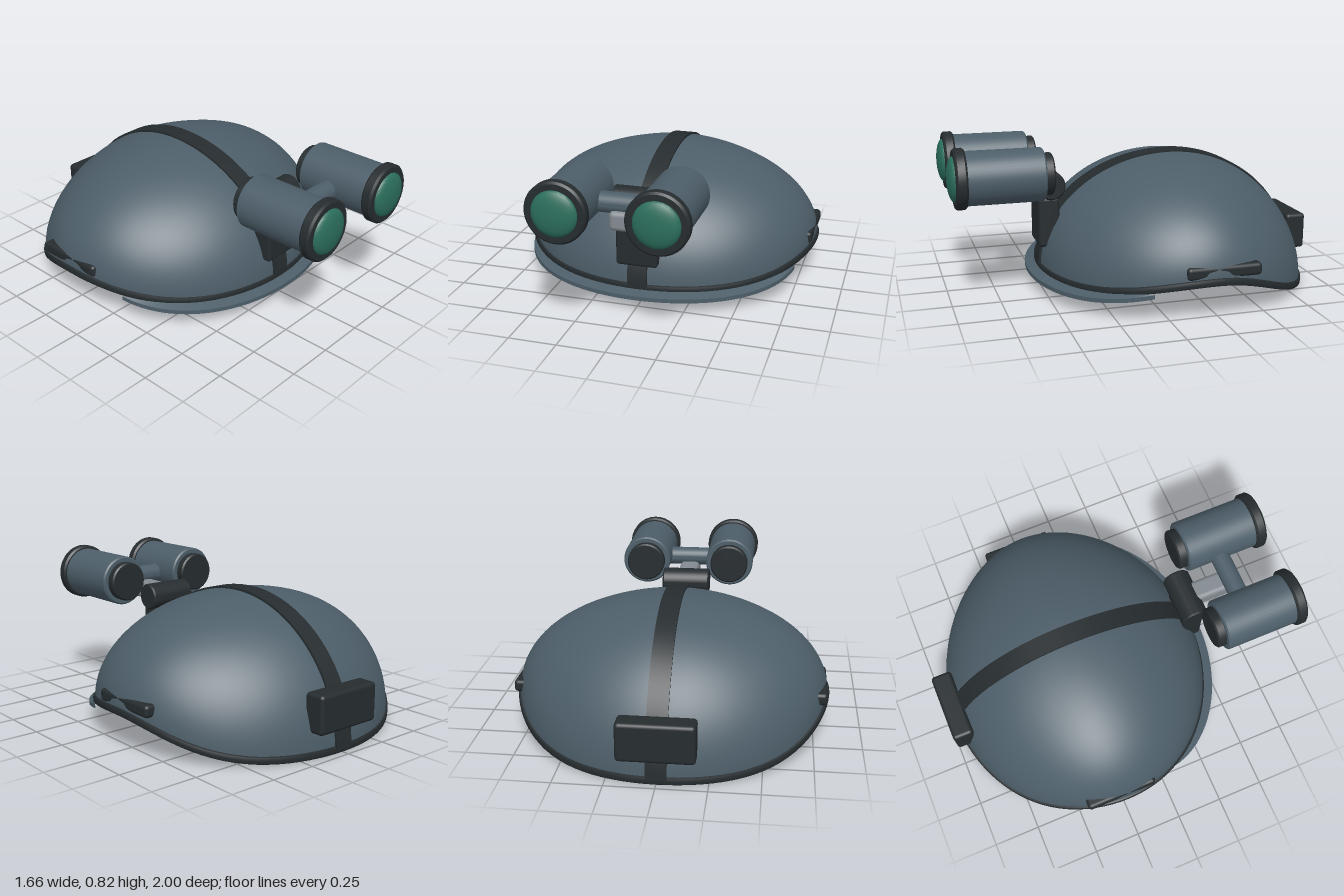
import * as THREE from 'three';
import { mergeVertices, toCreasedNormals } from 'three/addons/utils/BufferGeometryUtils.js';
import { RoundedBoxGeometry } from 'three/addons/geometries/RoundedBoxGeometry.js';

const mat = (color) => new THREE.MeshStandardMaterial({ color });
const shellMat = mat(0x4d5e69);
const darkMat = mat(0x262c2f);
const lensMat = mat(0x2b6e5c);
const metalMat = mat(0x848b91);

const RX = 0.82, RZ = 0.73, CZ = -0.23, TOP = 0.7;

// Rim height for a forward position c (1 front, 0 side, -1 back)
function rimY(c) {
  const dip = c > 0 ? 0.045 : 0.09;
  return 0.2 - dip * (1 - Math.cos(Math.PI * c));
}

// Point on the dome: a runs round from the front, phi from the crown to the rim
function domePoint(a, phi, k = 1) {
  const y0 = rimY(Math.cos(a));
  const s = Math.sin(phi) * k;
  return [RX * Math.sin(a) * s, y0 + (TOP - y0) * Math.cos(phi) * k, CZ + RZ * Math.cos(a) * s];
}

// Surface from a function of two parameters in 0..1
function surface(nu, nv, fn) {
  const pos = [], idx = [];
  for (let i = 0; i <= nu; i++) for (let j = 0; j <= nv; j++) pos.push(...fn(i / nu, j / nv));
  for (let i = 0; i < nu; i++) {
    for (let j = 0; j < nv; j++) {
      const p = i * (nv + 1) + j, q = p + nv + 1;
      idx.push(p, p + 1, q, p + 1, q + 1, q);
    }
  }
  const g = new THREE.BufferGeometry();
  g.setAttribute('position', new THREE.Float32BufferAttribute(pos, 3));
  g.setIndex(idx);
  const merged = mergeVertices(g, 1e-5);
  merged.computeVertexNormals();
  return merged;
}

function add(parent, name, geometry, material, x = 0, y = 0, z = 0) {
  const mesh = new THREE.Mesh(geometry, material);
  mesh.name = name;
  mesh.position.set(x, y, z);
  parent.add(mesh);
  return mesh;
}

const box = (w, h, d, r) => new RoundedBoxGeometry(w, h, d, 3, r);

// Turned part along z from [radius, z] points
function turned(points) {
  const g = new THREE.LatheGeometry(points.map((p) => new THREE.Vector2(p[0], p[1])), 48);
  return toCreasedNormals(g.rotateX(Math.PI / 2), 0.6);
}

// Chamfered disc or cylinder from z0 to z1
const drum = (r, z0, z1, b) =>
  turned([[0, z0], [r - b, z0], [r, z0 + b], [r, z1 - b], [r - b, z1], [0, z1]]);

export function createModel() {
  const model = new THREE.Group();
  model.name = 'helmetWithGoggles';
  const TAU = Math.PI * 2;

  // Shell, outside and inside
  add(model, 'shellOuter', surface(96, 32, (u, v) => domePoint(u * TAU, v * Math.PI / 2)), shellMat);
  add(model, 'shellInner', surface(96, 32, (u, v) => domePoint(-u * TAU, v * Math.PI / 2, 0.975)), shellMat);

  // Rounded edge trim following the wavy rim
  add(model, 'rimTrim', surface(96, 12, (u, v) => {
    const t = v * TAU;
    const soft = (n) => Math.sign(n) * Math.sqrt(Math.abs(n));
    const p = domePoint(u * TAU, Math.PI / 2, 0.99 + 0.023 * soft(Math.cos(t)));
    p[1] -= 0.02 * soft(Math.sin(t));
    return p;
  }), darkMat);

  // Brim around the front
  const brimSection = [[0, 0], [1, -0.025], [1, -0.047], [0, -0.025], [0, 0]];
  add(model, 'brim', toCreasedNormals(surface(48, 4, (u, v) => {
    const t = u * 2 - 1;
    const [out, dy] = brimSection[Math.round(v * 4)];
    const p = domePoint(t * 1.14, Math.PI / 2, 0.98 + out * (0.025 + 0.077 * (1 - t ** 4)));
    p[1] += dy;
    return p;
  }), 0.6), shellMat);

  // Strap over the crown from front to back
  const strapSection = [[-1, 1.015], [1, 1.015], [1, 0.985], [-1, 0.985], [-1, 1.015]];
  add(model, 'crownStrap', toCreasedNormals(surface(64, 4, (u, v) => {
    const t = 1 - u * 2;
    const [side, k] = strapSection[Math.round(v * 4)];
    const p = domePoint(t >= 0 ? 0 : Math.PI, Math.abs(t) * Math.PI / 2, k);
    return [side * 0.052, p[1], p[2]];
  }), 0.6), darkMat);

  // Side rails and rear battery box
  for (const s of [1, -1]) {
    add(model, s > 0 ? 'leftRail' : 'rightRail', box(0.07, 0.065, 0.39, 0.02), darkMat, s * 0.779, 0.245, -0.265);
  }
  add(model, 'rearBox', box(0.385, 0.2, 0.115, 0.02), darkMat, 0, 0.228, -0.942);

  // Front mount, hinge and arm
  add(model, 'mountBlock', box(0.22, 0.27, 0.115, 0.018), darkMat, 0, 0.365, 0.457);
  const hinge = add(model, 'hinge', drum(0.074, -0.135, 0.135, 0.008), darkMat, 0, 0.565, 0.445);
  hinge.rotation.y = Math.PI / 2;
  add(model, 'arm', box(0.112, 0.1, 0.3, 0.025), metalMat, 0, 0.57, 0.617);
  const bridge = add(model, 'bridge', drum(0.052, -0.15, 0.15, 0.004), shellMat, 0, 0.645, 0.698);
  bridge.rotation.y = Math.PI / 2;

  // Pair of goggle tubes
  for (const s of [1, -1]) {
    const tube = new THREE.Group();
    tube.name = s > 0 ? 'leftTube' : 'rightTube';
    tube.position.set(s * 0.246, 0.663, 0);
    model.add(tube);
    add(tube, 'barrel', drum(0.138, 0.515, 0.93, 0.008), shellMat);
    add(tube, 'eyepiece', drum(0.109, 0.468, 0.53, 0.008), darkMat);
    add(tube, 'frontRing', drum(0.155, 0.908, 0.966, 0.01), darkMat);
    const dome = [];
    for (let i = 0; i <= 8; i++) {
      const t = (i / 8) * Math.PI / 2;
      dome.push([0.116 * Math.cos(t), 0.964 + 0.036 * Math.sin(t)]);
    }
    add(tube, 'lens', turned(dome), lensMat);
  }
  return model;
}
